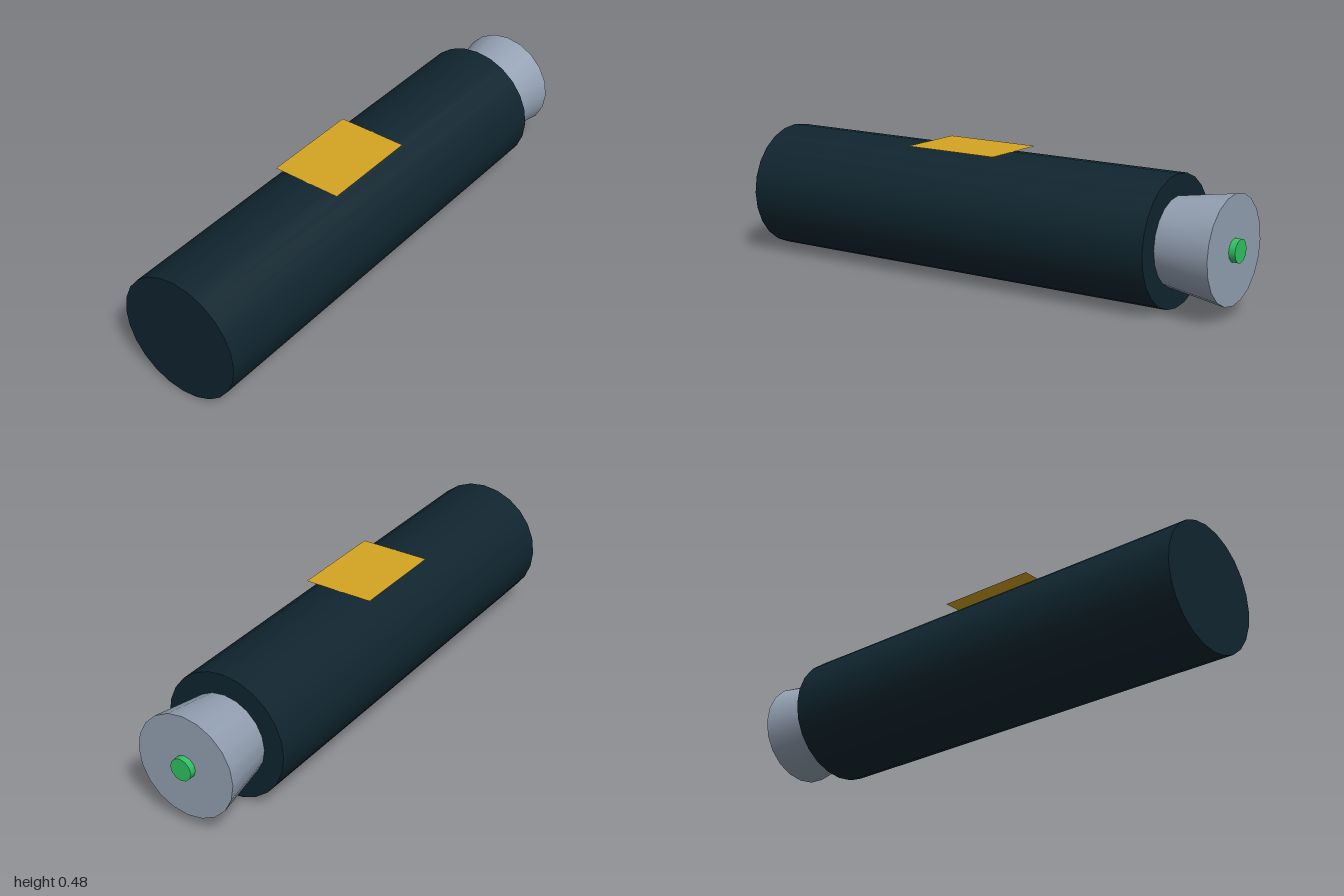
import * as THREE from 'three';

const material = (name, color, extra = {}) => {
  const m = new THREE.MeshStandardMaterial({ color, ...extra });
  m.name = name;
  return m;
};

export function createModel() {
  const group = new THREE.Group();
  group.name = 'cylinderDevice';
  const axisY = 0.242;

  const navy = material('darkNavy', 0x10252f);
  const grey = material('coolGrey', 0x94a1b3);
  const green = material('green', 0x30c262);
  const gold = material('gold', 0xd4a522, { side: THREE.DoubleSide });

  // Round part lying along x, from x0 (radius r0) to x1 (radius r1)
  const roundPart = (name, mat, x0, x1, r0, r1, sides) => {
    const geometry = new THREE.CylinderGeometry(r1, r0, x1 - x0, sides);
    geometry.rotateZ(-Math.PI / 2);
    const mesh = new THREE.Mesh(geometry, mat);
    mesh.name = name;
    mesh.position.set((x0 + x1) / 2, axisY, 0);
    group.add(mesh);
  };

  roundPart('body', navy, -1, 0.755, 0.241, 0.241, 24);
  roundPart('flaredCap', grey, 0.755, 0.976, 0.162, 0.197, 20);
  roundPart('endButton', green, 0.97, 1, 0.043, 0.043, 12);

  // Flat label resting on the top of the body
  const label = new THREE.Mesh(new THREE.PlaneGeometry(0.386, 0.273), gold);
  label.name = 'label';
  label.rotation.x = -Math.PI / 2;
  label.position.set(-0.122, 0.485, 0);
  group.add(label);

  return group;
}
